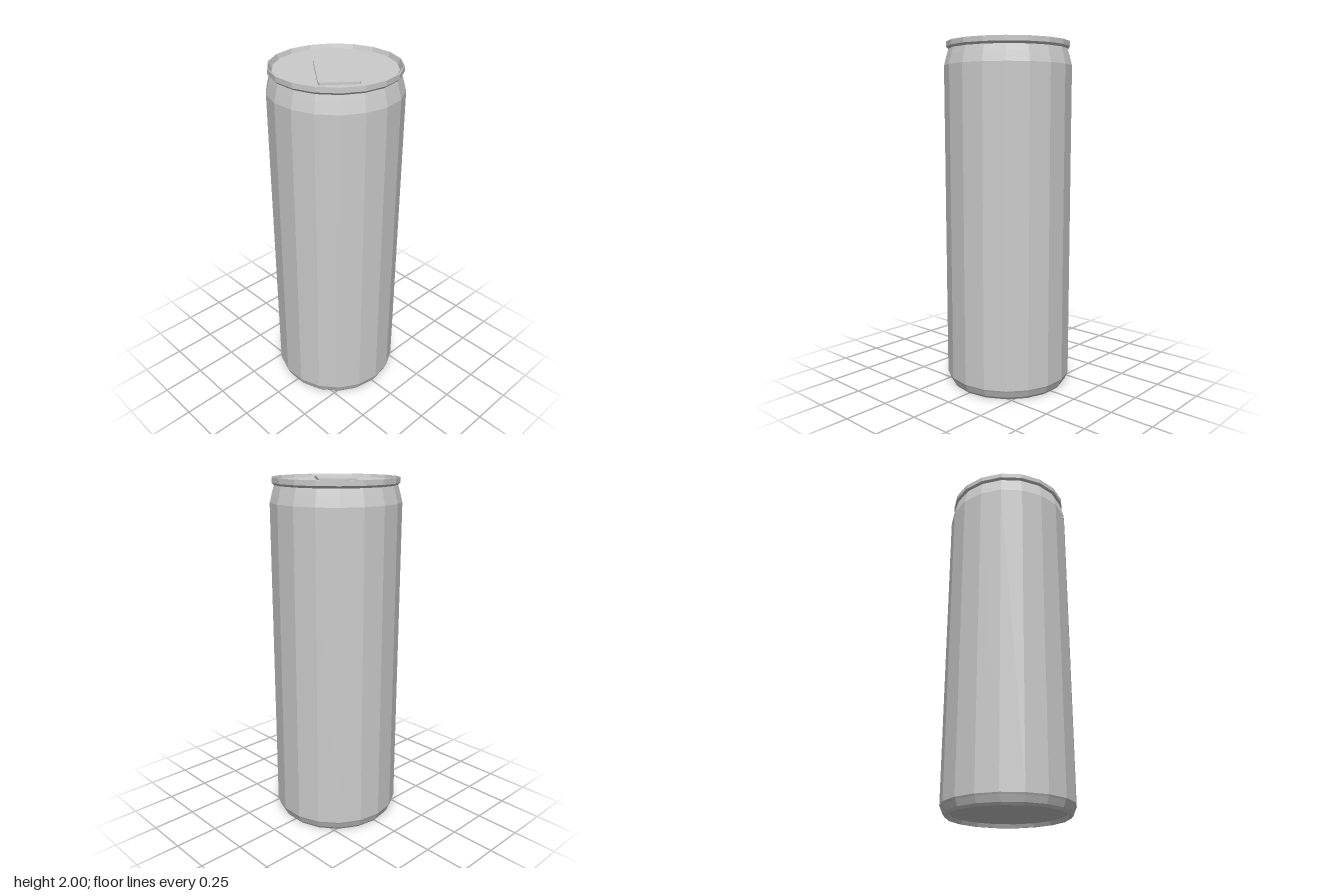
import * as THREE from 'three';

const SIDES = 18;

export function createModel() {
  const can = new THREE.Group();
  can.name = 'drinkCan';
  const metal = new THREE.MeshStandardMaterial({ color: 0xcccccc, flatShading: true, side: THREE.DoubleSide });

  const add = (name, geometry) => {
    const mesh = new THREE.Mesh(geometry, metal);
    mesh.name = name;
    can.add(mesh);
    return mesh;
  };
  // Each turned section is a run of [radius, height] from the bottom up
  const turned = (name, profile) =>
    add(name, new THREE.LatheGeometry(profile.map(([r, y]) => new THREE.Vector2(r, y)), SIDES));

  // Recessed bottom panel, foot ring and lower chamfer
  turned('base', [[0, 0.02], [0.318, 0.02], [0.328, 0], [0.337, 0], [0.348, 0.014], [0.362, 0.048], [0.367, 0.058]]);
  // Straight wall
  turned('body', [[0.367, 0.058], [0.367, 1.868]]);
  // Shoulder narrowing towards the rim
  turned('neck', [[0.367, 1.868], [0.352, 1.925], [0.342, 1.96]]);
  // Rolled rim with an inner wall sloping into the groove
  turned('rim', [[0.342, 1.96], [0.354, 1.972], [0.354, 2], [0.349, 2], [0.338, 1.965]]);
  // Lid panel rising out of the groove
  turned('lid', [[0.338, 1.965], [0.329, 1.982], [0.0, 1.982]]);

  // Pull tab: thin plate lying diagonally on the lid, outline in x, z
  const outline = [
    [-0.035, -0.133], [0.028, -0.115], [0.1, -0.058], [0.13, -0.003],
    [-0.075, 0.256], [-0.09, 0.265], [-0.243, 0.143], [-0.241, 0.127],
  ];
  const shape = new THREE.Shape(outline.map(([x, z]) => new THREE.Vector2(x, -z)));
  const tab = add('pullTab', new THREE.ExtrudeGeometry(shape, { depth: 0.014, bevelEnabled: false }).rotateX(-Math.PI / 2));
  tab.position.y = 1.981;

  return can;
}
